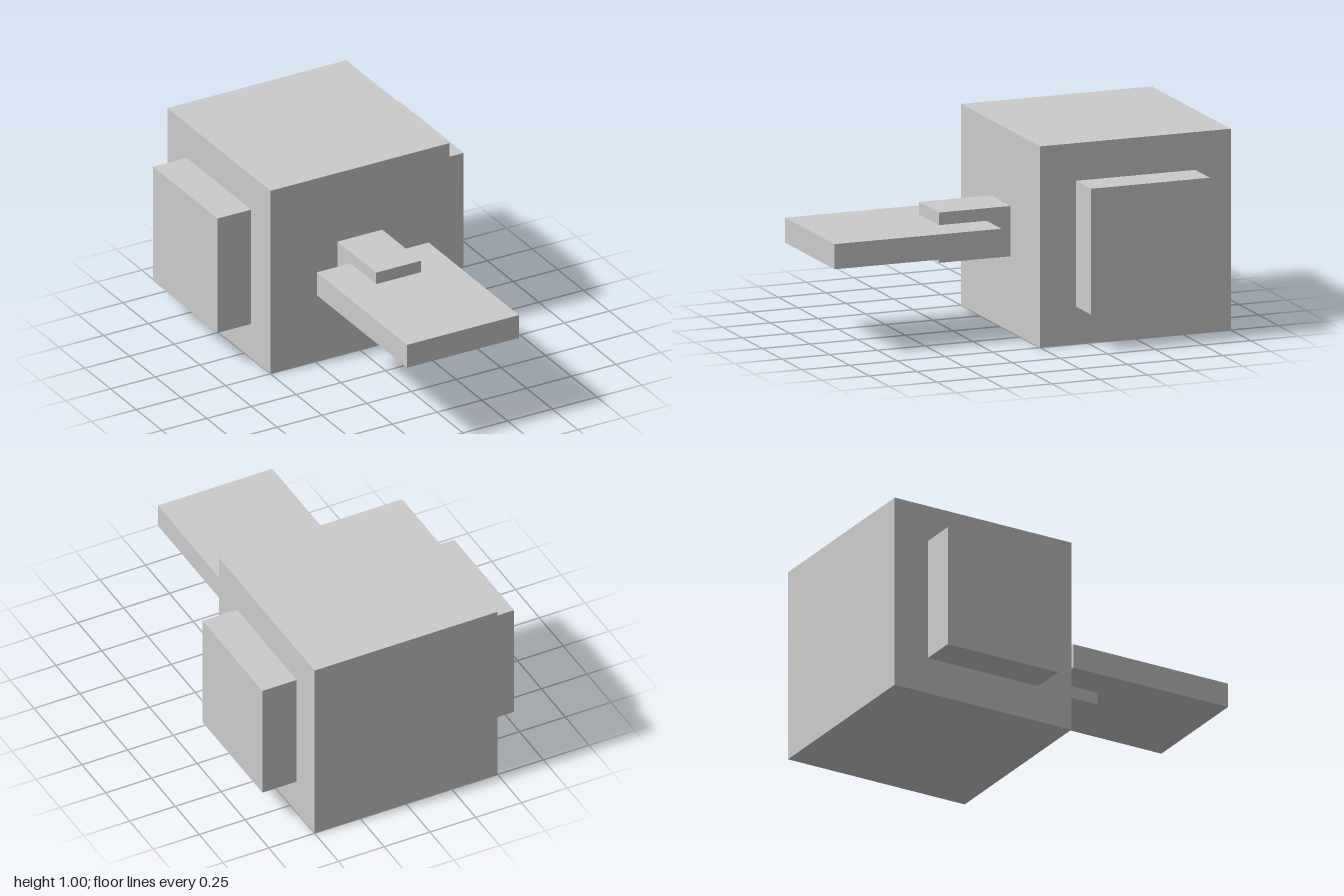
import * as THREE from 'three';

const material = new THREE.MeshStandardMaterial({ color: 0xcccccc, flatShading: true });

// Box given by its size and centre
function addBox(group, name, [w, h, d], [x, y, z]) {
  const mesh = new THREE.Mesh(new THREE.BoxGeometry(w, h, d), material);
  mesh.name = name;
  mesh.position.set(x, y, z);
  group.add(mesh);
}

export function createModel() {
  const group = new THREE.Group();
  group.name = 'model';

  // Cube body at the back
  addBox(group, 'body', [1, 1, 1], [0, 0.5, -0.5]);

  // Raised panel on each side
  for (const side of [1, -1]) {
    addBox(group, side > 0 ? 'leftSidePanel' : 'rightSidePanel',
      [0.1875, 0.625, 0.625], [side * 0.59375, 0.5, -0.5]);
  }

  // Connector from the body into the flat front plate
  addBox(group, 'connector', [0.25, 0.25, 0.375], [0, 0.5, 0.1875]);
  addBox(group, 'frontPlate', [0.625, 0.125, 0.875], [0, 0.5, 0.5625]);

  return group;
}
